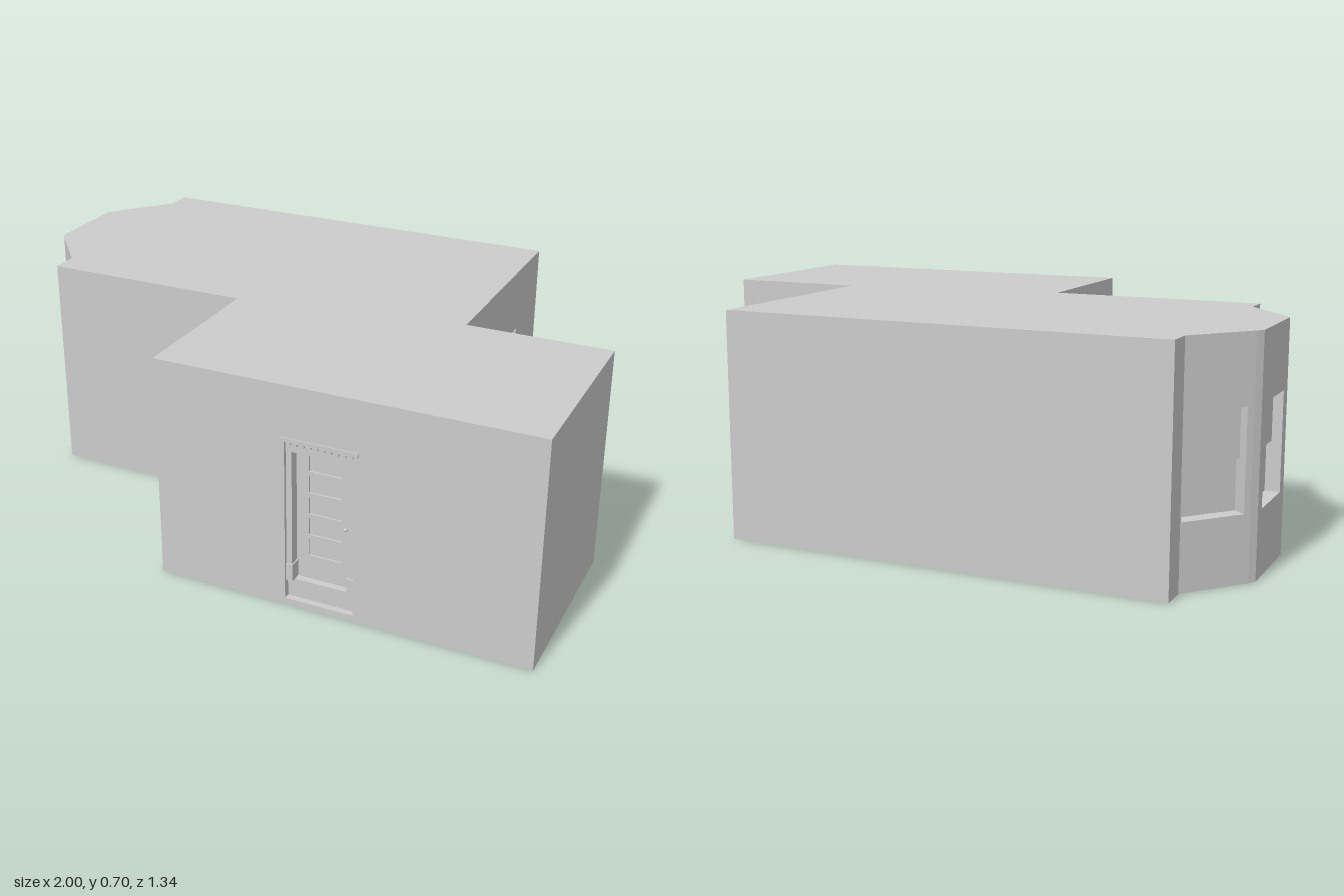
import * as THREE from 'three';

const HEIGHT = 0.705;
const THICK = 0.055;

// Footprint corners (x, z), walked so that every wall faces outward
const PLAN = [
  [-0.84, 0.16], [-0.165, 0.16], [-0.165, 0.668], [1, 0.668], [1, 0.053], [0.552, 0.053],
  [0.552, -0.672], [-0.84, -0.672], [-0.84, -0.588], [-0.985, -0.417], [-1, -0.395],
  [-1, -0.115], [-0.985, -0.092], [-0.84, 0.075],
];

// Windows by wall number: distance along the wall to the left edge
const WINDOWS = { 4: [0.246], 5: [0.003, 0.313], 8: [0.003], 10: [0.04], 12: [0.0165] };
const WIN = { w: 0.2, y0: 0.2, y1: 0.5 };
const DOOR_WALL = 2;
const DOOR = { u0: 0.414, w: 0.214, y0: 0.02, y1: 0.535 };

export function createModel() {
  const model = new THREE.Group();
  model.name = 'house';
  const grey = new THREE.MeshStandardMaterial({ color: 0xcccccc });
  const greyDouble = new THREE.MeshStandardMaterial({ color: 0xcccccc, side: THREE.DoubleSide });

  // Box given by its min and max along each axis
  const box = (parent, name, x0, x1, y0, y1, z0, z1) => {
    const mesh = new THREE.Mesh(new THREE.BoxGeometry(x1 - x0, y1 - y0, z1 - z0), grey);
    mesh.position.set((x0 + x1) / 2, (y0 + y1) / 2, (z0 + z1) / 2);
    mesh.name = name;
    parent.add(mesh);
  };
  const rect = (u0, y0, u1, y1) => [[u0, y0], [u1, y0], [u1, y1], [u0, y1]].map(p => new THREE.Vector2(...p));

  // Sash window: the upper sash sits in front of the lower one
  const addWindow = (parent, u) => {
    const g = new THREE.Group();
    g.name = 'sashWindow';
    const mid = (WIN.y0 + WIN.y1) / 2;
    box(g, 'upperSash', u, u + WIN.w, mid, WIN.y1, -THICK, -0.03);
    box(g, 'lowerSash', u, u + WIN.w, WIN.y0, mid, -THICK, -0.045);
    parent.add(g);
  };

  // Recessed panelled door with steps, pilasters and a dentil cornice
  const addDoor = (parent) => {
    const g = new THREE.Group();
    g.name = 'doorway';
    g.position.x = DOOR.u0 + DOOR.w / 2;
    const h = DOOR.w / 2;
    box(g, 'step', -h, h, DOOR.y0, 0.08, -THICK, -0.02);
    box(g, 'doorSlab', -h, h, 0.08, 0.5, -THICK, -0.048);
    box(g, 'frieze', -h, h, 0.5, DOOR.y1, -THICK, -0.008);
    for (const s of [-1, 1]) {
      const span = (a, b) => (s > 0 ? [a, b] : [-b, -a]);
      box(g, 'plinth', ...span(h - 0.022, h), 0.08, 0.134, -THICK, -0.005);
      box(g, 'pilaster', ...span(h - 0.018, h), 0.134, 0.5, -THICK, -0.01);
      box(g, 'doorStile', ...span(0.051, h - 0.018), 0.08, 0.5, -THICK, -0.042);
    }
    for (let i = 0; i < 6; i++) {
      const y = 0.143 + i * 0.0685;
      box(g, 'doorRail', -0.051, 0.051, i ? y : 0.08, i === 5 ? 0.5 : y + 0.014, -THICK, -0.042);
    }
    const knob = new THREE.Mesh(new THREE.SphereGeometry(0.006, 12, 8), grey);
    knob.name = 'doorKnob';
    knob.position.set(0.066, 0.273, -0.038);
    g.add(knob);
    box(g, 'cornice', -h - 0.01, h + 0.01, 0.533, 0.546, -THICK, 0.004);
    for (let i = 0; i < 10; i++) {
      const x = -h + 0.008 + i * 0.021;
      box(g, 'dentil', x, x + 0.01, 0.523, 0.533, -0.01, 0.001);
    }
    parent.add(g);
  };

  // Walls, each drawn flat along its own length
  PLAN.forEach(([x, z], i) => {
    const [nx, nz] = PLAN[(i + 1) % PLAN.length];
    const length = Math.hypot(nx - x, nz - z);
    const wall = new THREE.Group();
    wall.name = 'wall' + i;
    wall.position.set(x, 0, z);
    wall.rotation.y = Math.atan2(z - nz, nx - x);

    const shape = new THREE.Shape(rect(0, 0, length, HEIGHT));
    const windows = WINDOWS[i] || [];
    for (const u of windows) {
      shape.holes.push(new THREE.Path(rect(u, WIN.y0, u + WIN.w, WIN.y1)));
      addWindow(wall, u);
    }
    if (i === DOOR_WALL) {
      shape.holes.push(new THREE.Path(rect(DOOR.u0, DOOR.y0, DOOR.u0 + DOOR.w, DOOR.y1)));
      addDoor(wall);
    }
    // Walls with openings get depth for the reveals
    const pierced = shape.holes.length > 0;
    const geo = pierced
      ? new THREE.ExtrudeGeometry(shape, { depth: THICK, bevelEnabled: false }).translate(0, 0, -THICK)
      : new THREE.ShapeGeometry(shape);
    const panel = new THREE.Mesh(geo, pierced ? grey : greyDouble);
    panel.name = 'wallPanel';
    wall.add(panel);
    model.add(wall);
  });

  // Flat roof and floor
  const plan = new THREE.Shape(PLAN.map(([x, z]) => new THREE.Vector2(x, -z)));
  for (const [name, y] of [['floor', 0], ['roof', HEIGHT]]) {
    const cap = new THREE.Mesh(new THREE.ShapeGeometry(plan).rotateX(-Math.PI / 2), greyDouble);
    cap.name = name;
    cap.position.y = y;
    model.add(cap);
  }
  return model;
}
